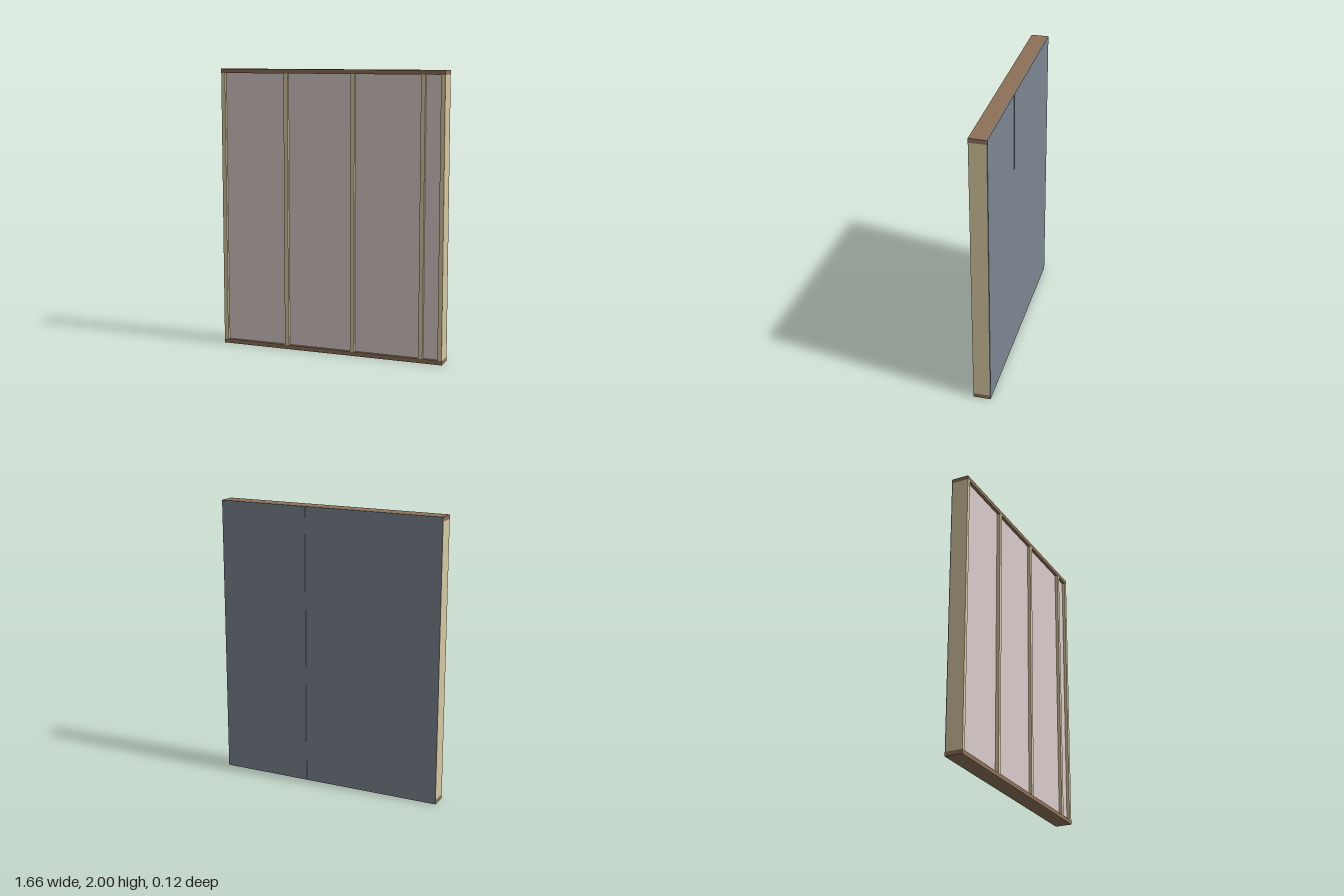
import * as THREE from 'three';

const material = (color) => new THREE.MeshStandardMaterial({ color });

export function createModel() {
  const wall = new THREE.Group();
  wall.name = 'framedWallPanel';

  const lumber = material(0xd6c7a0);
  const plateWood = material(0x8d7058);
  const batt = material(0xd9caca);
  const board = material(0x7c8791);

  // Box given by its two extents along each axis
  const addBox = (name, mat, [x0, x1], [y0, y1], [z0, z1]) => {
    const mesh = new THREE.Mesh(new THREE.BoxGeometry(x1 - x0, y1 - y0, z1 - z0), mat);
    mesh.position.set((x0 + x1) / 2, (y0 + y1) / 2, (z0 + z1) / 2);
    mesh.name = name;
    wall.add(mesh);
  };

  const half = 0.828, height = 2, timber = 0.03;
  const back = -0.061, frameBack = -0.054, front = 0.061;
  const depth = [frameBack, front];
  const clear = [timber, height - timber];

  // Bottom and top plates
  addBox('bottomPlate', plateWood, [-half, half], [0, timber], depth);
  addBox('topPlate', plateWood, [-half, half], [height - timber, height], depth);

  // Vertical studs, by their lower x edge
  const studs = [-half, -0.343, 0.157, 0.66, half - timber];
  studs.forEach((x) => addBox('stud', lumber, [x, x + timber], clear, depth));

  // Insulation in each bay, set back from the front; the first leaves a small gap
  for (let i = 0; i < studs.length - 1; i++) {
    const gap = i === 0 ? 0.006 : 0;
    addBox('insulation', batt, [studs[i] + timber, studs[i + 1] - gap], clear, [frameBack, 0.04]);
  }

  // Two sheathing boards meeting over the third stud
  const seam = 0.172, joint = 0.0015;
  addBox('sheathingRight', board, [-half, seam - joint], [0, height], [back, frameBack]);
  addBox('sheathingLeft', board, [seam + joint, half], [0, height], [back, frameBack]);

  return wall;
}
